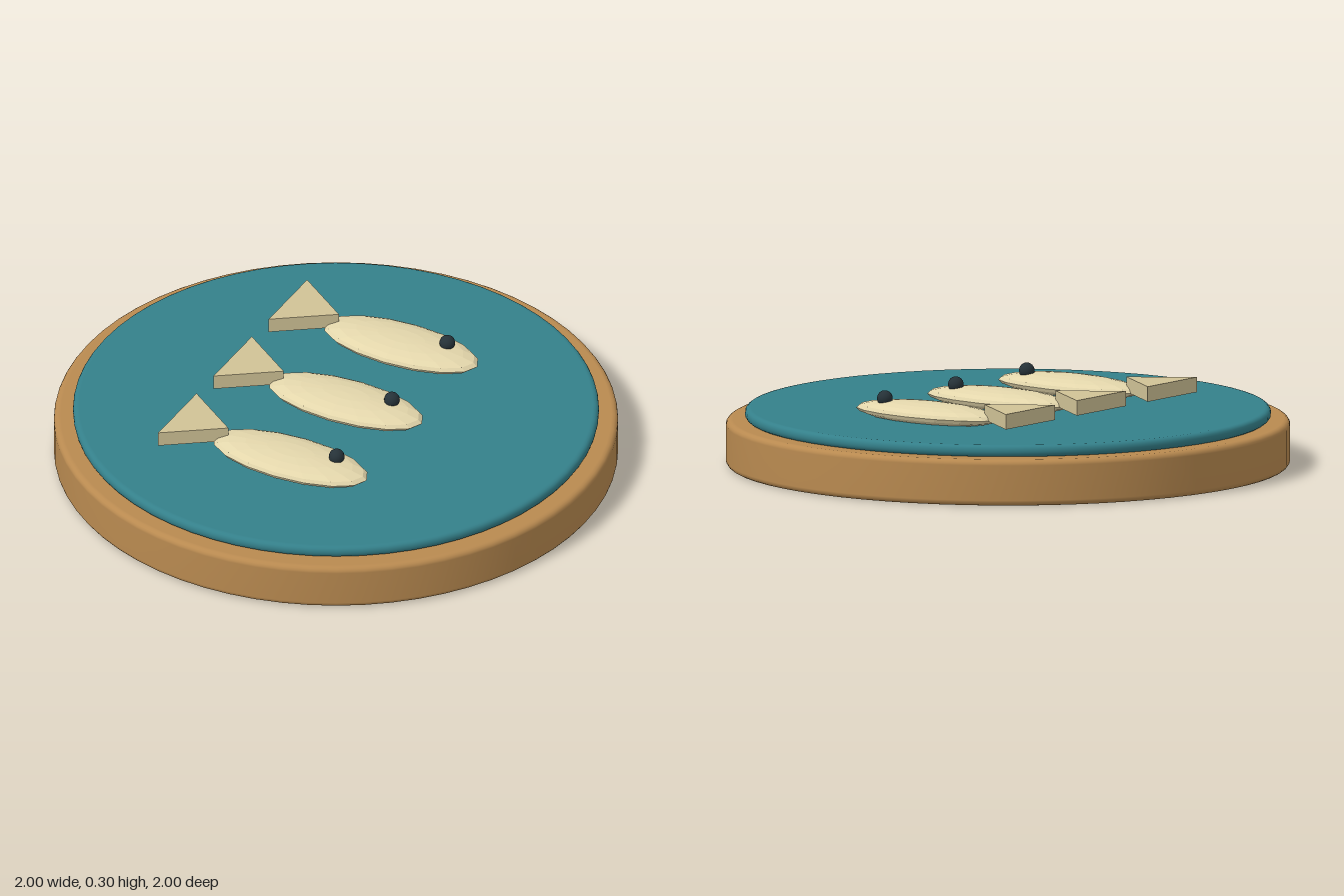
import * as THREE from 'three';

const material = (color, flatShading = false) => new THREE.MeshStandardMaterial({ color, flatShading });

function addMesh(parent, name, geometry, mat, x = 0, y = 0, z = 0) {
  const mesh = new THREE.Mesh(geometry, mat);
  mesh.name = name;
  mesh.position.set(x, y, z);
  parent.add(mesh);
  return mesh;
}

// Solid disc standing on y = 0 with rounded upper and lower rims
function roundedDisc(radius, height, bevel) {
  const steps = 4;
  const inner = radius - bevel;
  const points = [new THREE.Vector2(0, 0), new THREE.Vector2(inner - 0.004, 0)];
  for (const [cy, start] of [[bevel, -Math.PI / 2], [height - bevel, 0]]) {
    for (let i = 0; i <= steps; i++) {
      const a = start + (i / steps) * Math.PI / 2;
      points.push(new THREE.Vector2(inner + bevel * Math.cos(a), cy + bevel * Math.sin(a)));
    }
  }
  points.push(new THREE.Vector2(inner - 0.004, height), new THREE.Vector2(0, height));
  return new THREE.LatheGeometry(points, 64);
}

// Triangular tail slab, its point reaching into the body
function tailGeometry() {
  const shape = new THREE.Shape([
    new THREE.Vector2(-0.21, 0),
    new THREE.Vector2(-0.415, 0.145),
    new THREE.Vector2(-0.415, -0.145),
  ]);
  const geometry = new THREE.ExtrudeGeometry(shape, { depth: 0.054, bevelEnabled: false });
  return geometry.rotateX(-Math.PI / 2);
}

export function createModel() {
  const model = new THREE.Group();
  model.name = 'fishPlaque';

  addMesh(model, 'woodenBase', roundedDisc(1, 0.165, 0.02), material(0xb98a50));
  addMesh(model, 'waterInlay', roundedDisc(0.932, 0.042, 0.018), material(0x34808a), 0, 0.165, 0);

  const bodyGeometry = new THREE.SphereGeometry(1, 16, 10).scale(0.305, 0.039, 0.128);
  const tail = tailGeometry();
  const eye = new THREE.SphereGeometry(0.028, 16, 12);
  const bodyMaterial = material(0xe3d6ab, true);
  const tailMaterial = material(0xd0c296, true);
  const eyeMaterial = material(0x263238);

  // Three identical fish in a row
  for (let i = -1; i <= 1; i++) {
    const fish = new THREE.Group();
    fish.name = 'fish';
    fish.position.z = i * 0.417;
    addMesh(fish, 'fishBody', bodyGeometry, bodyMaterial, 0.04, 0.232, 0);
    addMesh(fish, 'fishTail', tail, tailMaterial, 0, 0.23, 0);
    addMesh(fish, 'fishEye', eye, eyeMaterial, 0.207, 0.273, -0.033);
    model.add(fish);
  }
  return model;
}
